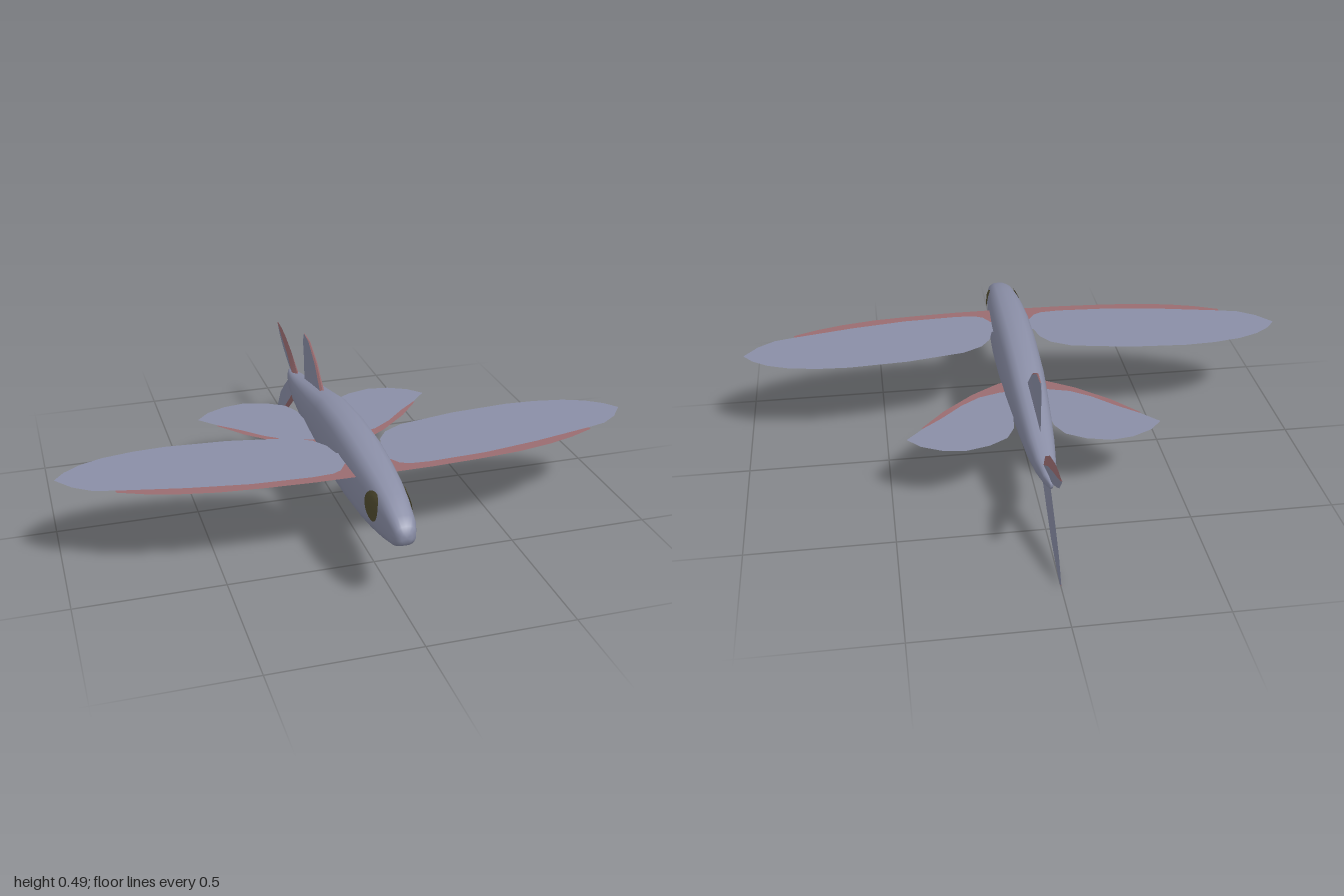
import * as THREE from 'three';

const material = (name, color, side) => {
  const m = new THREE.MeshStandardMaterial({ color, side });
  m.name = name;
  return m;
};

// Body stations from nose to tail: z, top y, bottom y, half width
const STATIONS = [
  [0.81, 0.285, 0.25, 0.018], [0.8, 0.303, 0.236, 0.033], [0.77, 0.325, 0.218, 0.044],
  [0.69, 0.357, 0.197, 0.055], [0.6, 0.377, 0.181, 0.064], [0.5, 0.392, 0.169, 0.071],
  [0.36, 0.405, 0.159, 0.076], [0.2, 0.406, 0.156, 0.076], [0, 0.389, 0.164, 0.072],
  [-0.12, 0.361, 0.174, 0.066], [-0.25, 0.333, 0.18, 0.058], [-0.38, 0.303, 0.189, 0.048],
  [-0.48, 0.281, 0.204, 0.036], [-0.56, 0.265, 0.22, 0.021], [-0.6, 0.255, 0.232, 0.006],
];
const POWER = 2.7; // squareness of the body section
const SIDES = 20;

function bodyGeometry() {
  const pos = [], index = [];
  const squash = (v) => Math.sign(v) * Math.abs(v) ** (2 / POWER);
  for (const [z, top, bottom, w] of STATIONS) {
    for (let j = 0; j < SIDES; j++) {
      const a = (j / SIDES) * Math.PI * 2;
      pos.push(w * squash(Math.cos(a)), (top + bottom) / 2 + ((top - bottom) / 2) * squash(Math.sin(a)), z);
    }
  }
  const last = STATIONS.length - 1;
  for (let i = 0; i < last; i++) {
    for (let j = 0; j < SIDES; j++) {
      const a = i * SIDES + j, b = i * SIDES + ((j + 1) % SIDES);
      index.push(a, a + SIDES, b, b, a + SIDES, b + SIDES);
    }
  }
  // close nose and tail
  for (const [i, dz] of [[0, 0.002], [last, -0.002]]) {
    const [z, top, bottom] = STATIONS[i];
    const c = pos.length / 3;
    pos.push(0, (top + bottom) / 2, z + dz);
    for (let j = 0; j < SIDES; j++) {
      const a = i * SIDES + j, b = i * SIDES + ((j + 1) % SIDES);
      if (i === 0) index.push(c, a, b);
      else index.push(c, b, a);
    }
  }
  return meshData(pos, index);
}

function meshData(pos, index) {
  const g = new THREE.BufferGeometry();
  g.setAttribute('position', new THREE.Float32BufferAttribute(pos, 3));
  g.setIndex(index);
  g.computeVertexNormals();
  return g;
}

// Half width of the body at a given height and z
function bodyX(y, z) {
  let i = 0;
  while (i < STATIONS.length - 2 && STATIONS[i + 1][0] > z) i++;
  const A = STATIONS[i], B = STATIONS[i + 1];
  const t = (z - A[0]) / (B[0] - A[0]);
  const [top, bottom, w] = [1, 2, 3].map((k) => A[k] + (B[k] - A[k]) * t);
  const v = Math.min(1, Math.abs((y - (top + bottom) / 2) / ((top - bottom) / 2)));
  return w * (1 - v ** POWER) ** (1 / POWER);
}

// Round eye laid onto the flank
function eyeGeometry(side) {
  const g = new THREE.RingGeometry(0.0005, 0.049, 20, 5);
  const p = g.attributes.position;
  for (let i = 0; i < p.count; i++) {
    const z = 0.645 - side * p.getX(i), y = 0.3 + p.getY(i);
    p.setXYZ(i, side * (bodyX(y, z) + 0.004), y, z);
  }
  g.computeVertexNormals();
  return g;
}

// Flat horizontal plate from x, z outline points
function plateGeometry(points, side, y) {
  const shape = new THREE.Shape(points.map(([x, z]) => new THREE.Vector2(side * x, z)));
  return new THREE.ShapeGeometry(shape).rotateX(Math.PI / 2).translate(0, y, 0);
}

// Upright fin between leading and trailing edges (z, y points), thickest at fraction f of the chord
function finGeometries(lead, trail, f, thick) {
  const n = lead.length;
  const strip = (fromLead) => {
    const pos = [], index = [];
    for (const s of [1, -1]) {
      const base = pos.length / 3;
      lead.forEach(([lz, ly], i) => {
        const [tz, ty] = trail[i];
        const ridge = [s * thick * (1 - (0.85 * i) / (n - 1)), ly + (ty - ly) * f, lz + (tz - lz) * f];
        pos.push(...(fromLead ? [0, ly, lz, ...ridge] : [...ridge, 0, ty, tz]));
      });
      const up = lead[n - 1][1] > lead[0][1] ? 1 : -1;
      for (let i = 0; i < n - 1; i++) {
        const a = base + 2 * i;
        if (s * up > 0) index.push(a, a + 1, a + 2, a + 1, a + 3, a + 2);
        else index.push(a, a + 2, a + 1, a + 1, a + 2, a + 3);
      }
    }
    return meshData(pos, index);
  };
  return [strip(true), strip(false)];
}

// Horizontal fins: rim = leading edge, seam = colour boundary (both root to tip), rear = trailing edge (tip to root)
const WINGS = [
  {
    name: 'pectoralFin', y: 0.332,
    rim: [[0, 0.505], [0.2, 0.503], [0.36, 0.495], [0.51, 0.482], [0.64, 0.457], [0.73, 0.43], [0.82, 0.392]],
    seam: [[0, 0.4], [0.075, 0.405], [0.1, 0.445], [0.13, 0.461], [0.2, 0.466], [0.4, 0.456], [0.6, 0.425], [0.82, 0.378]],
    tip: [[0.89, 0.36], [0.95, 0.318], [1, 0.255]],
    rear: [[0.965, 0.21], [0.91, 0.17], [0.835, 0.14], [0.73, 0.121], [0.62, 0.115], [0.41, 0.13], [0.2, 0.17],
      [0.13, 0.21], [0.095, 0.26], [0.08, 0.32], [0, 0.36]],
  },
  {
    name: 'pelvicFin', y: 0.24,
    rim: [[0, 0.115], [0.085, 0.085], [0.19, 0.016], [0.3, -0.085], [0.385, -0.187]],
    seam: [[0, 0.02], [0.085, 0.02], [0.165, -0.005], [0.235, -0.055], [0.31, -0.13], [0.38, -0.19]],
    tip: [[0.44, -0.255]],
    rear: [[0.395, -0.305], [0.325, -0.34], [0.25, -0.352], [0.165, -0.33], [0.1, -0.29], [0.07, -0.23], [0.055, -0.1], [0, -0.08]],
  },
];

// Upright fins, root to tip
const FINS = [
  { name: 'dorsalFin', f: 0.04, thick: 0.01,
    lead: [[-0.1, 0.34], [-0.122, 0.362], [-0.2, 0.435], [-0.295, 0.487], [-0.37, 0.491]],
    trail: [[-0.376, 0.28], [-0.376, 0.33], [-0.378, 0.38], [-0.39, 0.456], [-0.371, 0.491]] },
  { name: 'analFin', f: 0.04, thick: 0.01,
    lead: [[-0.1, 0.19], [-0.115, 0.174], [-0.18, 0.138], [-0.233, 0.109]],
    trail: [[-0.37, 0.21], [-0.38, 0.182], [-0.398, 0.143], [-0.285, 0.13]] },
  { name: 'upperTailLobe', f: 0.36, thick: 0.015,
    lead: [[-0.46, 0.27], [-0.49, 0.286], [-0.567, 0.337], [-0.667, 0.372], [-0.73, 0.384], [-0.785, 0.387]],
    trail: [[-0.54, 0.235], [-0.575, 0.248], [-0.63, 0.27], [-0.7, 0.305], [-0.748, 0.334], [-0.79, 0.382]] },
  { name: 'lowerTailLobe', f: 0.17, thick: 0.015,
    lead: [[-0.45, 0.22], [-0.48, 0.2], [-0.56, 0.126], [-0.645, 0.057], [-0.733, 0.017], [-0.8, 0]],
    trail: [[-0.53, 0.25], [-0.56, 0.243], [-0.615, 0.207], [-0.69, 0.148], [-0.763, 0.083], [-0.81, 0.012]] },
];

export function createModel() {
  const skin = material('blue grey skin', 0x8a8ea6, THREE.DoubleSide);
  const edge = material('dusty red edge', 0x9a6c70, THREE.DoubleSide);
  const olive = material('olive eye', 0x514c30, THREE.DoubleSide);
  const model = new THREE.Group();
  model.name = 'flyingFish';
  const add = (name, geometry, mat) => {
    const mesh = new THREE.Mesh(geometry, mat);
    mesh.name = name;
    model.add(mesh);
  };

  add('body', bodyGeometry(), skin);

  for (const [side, label] of [[1, 'left'], [-1, 'right']]) {
    add(`${label} eye`, eyeGeometry(side), olive);
    for (const { name, y, rim, seam, tip, rear } of WINGS) {
      add(`${label} ${name}`, plateGeometry([...seam, ...tip, ...rear], side, y), skin);
      add(`${label} ${name} edge`, plateGeometry([...rim, ...[...seam].reverse()], side, y), edge);
    }
  }

  for (const { name, lead, trail, f, thick } of FINS) {
    const [front, back] = finGeometries(lead, trail, f, thick);
    add(`${name} edge`, front, edge);
    add(name, back, skin);
  }
  return model;
}
